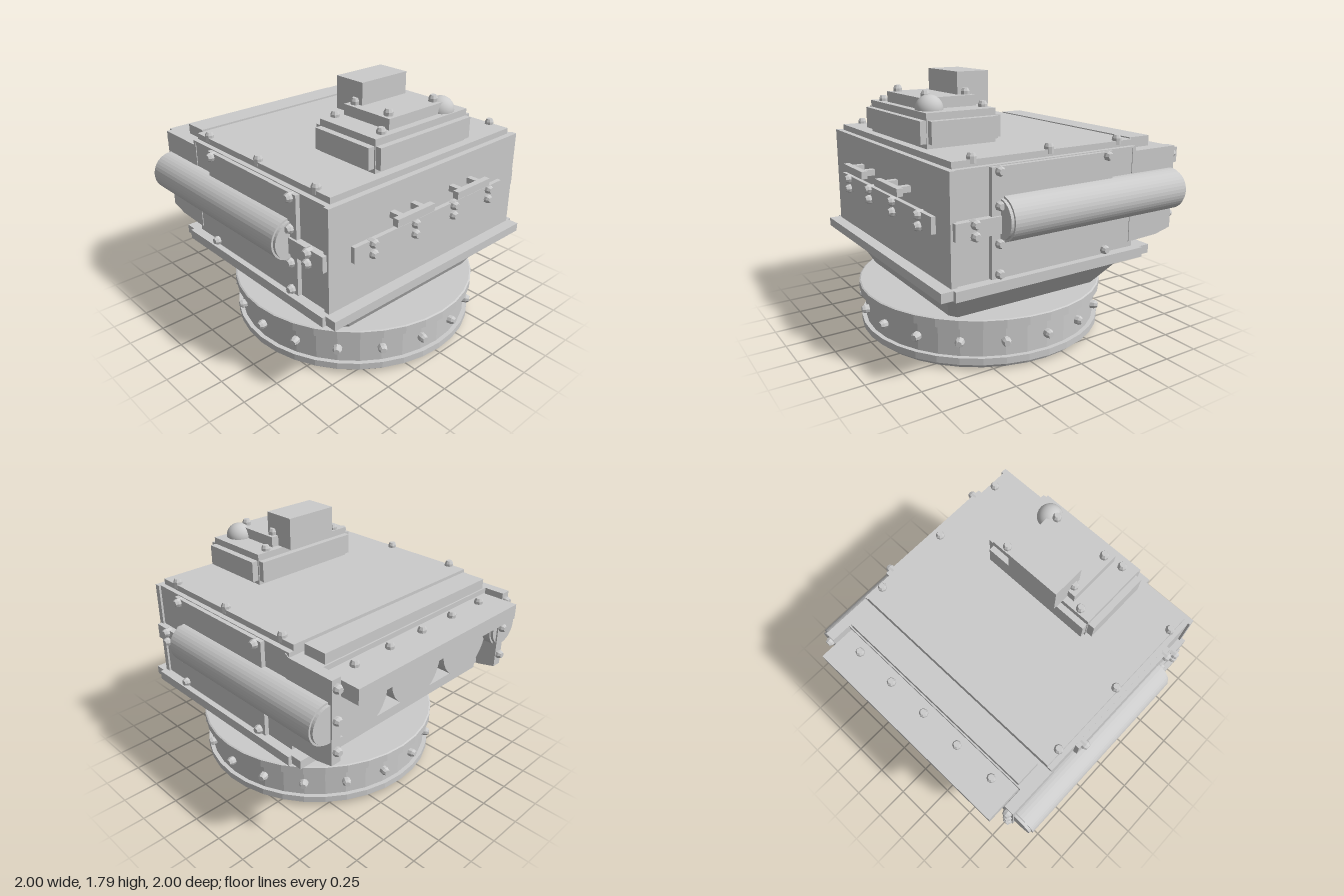
import * as THREE from 'three';
import { ConvexGeometry } from 'three/addons/geometries/ConvexGeometry.js';

const flat = new THREE.MeshStandardMaterial({ color: 0xcccccc, flatShading: true });
const smooth = new THREE.MeshStandardMaterial({ color: 0xcccccc });

export function createModel() {
  const model = new THREE.Group();
  model.name = 'armouredHousing';

  const add = (name, geometry, material = flat) => {
    const mesh = new THREE.Mesh(geometry, material);
    mesh.name = name;
    model.add(mesh);
    return mesh;
  };
  // Box given by its limits on each axis
  const box = (name, x0, x1, y0, y1, z0, z1) => {
    const mesh = add(name, new THREE.BoxGeometry(x1 - x0, y1 - y0, z1 - z0));
    mesh.position.set((x0 + x1) / 2, (y0 + y1) / 2, (z0 + z1) / 2);
    return mesh;
  };
  // The same box on both sides, or only mirrored when s = -1
  const sideBox = (name, s, x0, x1, ...rest) =>
    box(name, Math.min(s * x0, s * x1), Math.max(s * x0, s * x1), ...rest);

  // Hexagonal bolt with a tapered head, standing on a surface
  const boltGeometry = new THREE.LatheGeometry(
    [[0.03, -0.02], [0.03, 0.022], [0.02, 0.042], [0, 0.042]].map(p => new THREE.Vector2(...p)), 8);
  const up = new THREE.Vector3(0, 1, 0);
  const bolt = (x, y, z, nx, ny, nz) => {
    const mesh = add('bolt', boltGeometry);
    mesh.position.set(x, y, z);
    mesh.quaternion.setFromUnitVectors(up, new THREE.Vector3(nx, ny, nz).normalize());
  };

  // Round base with two flanges
  const baseZ = 0.14;
  const baseProfile = [[0, 0.01], [0.81, 0.01], [0.82, 0.03], [0.85, 0.045], [0.85, 0.09], [0.82, 0.09],
    [0.82, 0.29], [0.86, 0.29], [0.86, 0.345], [0.85, 0.35], [0, 0.35]];
  add('baseRing', new THREE.LatheGeometry(baseProfile.map(p => new THREE.Vector2(...p)), 36))
    .position.z = baseZ;
  for (let i = 0; i < 18; i++) {
    const a = (10 + 20 * i) * Math.PI / 180;
    const nx = Math.sin(a), nz = Math.cos(a);
    bolt(nx * 0.825, 0.19, baseZ + nz * 0.825, nx, 0, nz);
  }

  // Tapered neck with chamfered corners
  const neck = [];
  for (const [y, xo, xi, zo, zi] of [[0.34, 0.61, 0.555, 0.56, 0.525], [0.6, 0.83, 0.775, 0.69, 0.655]])
    for (const sx of [-1, 1])
      for (const sz of [-1, 1])
        neck.push(new THREE.Vector3(sx * xo, y, 0.145 + sz * zi), new THREE.Vector3(sx * xi, y, 0.145 + sz * zo));
  add('neck', new ConvexGeometry(neck));

  // Skirt frame around the bottom of the housing
  box('skirtPlate', -0.84, 0.84, 0.59, 0.655, -0.58, 0.86);
  box('skirtFront', -0.885, 0.885, 0.595, 0.655, 0.85, 0.93);
  box('skirtBack', -0.885, 0.885, 0.595, 0.655, -0.65, -0.57);
  for (const s of [-1, 1]) sideBox('skirtSide', s, 0.83, 0.91, 0.59, 0.655, -0.57, 0.85);

  // Main housing, front panel and roof plate
  box('housing', -0.845, 0.845, 0.65, 1.33, -0.53, 0.81);
  box('frontPanel', -0.86, 0.86, 0.65, 1.33, 0.81, 0.85);
  box('roofPlate', -0.81, 0.81, 1.33, 1.37, -0.53, 0.81);
  for (const s of [-1, 1])
    for (const z of [-0.41, 0.13, 0.67]) bolt(s * 0.79, 1.365, z, 0, 1, 0);

  // Bolted strip and two handles on the front
  box('frontStrip', -0.69, 0.69, 0.935, 1.04, 0.85, 0.88);
  for (const x of [-0.545, -0.185, 0.18, 0.54])
    for (const y of [0.95, 1.02]) bolt(x, y, 0.875, 0, 0, 1);
  for (const s of [-1, 1]) {
    sideBox('handleGrip', s, 0.11, 0.43, 1.11, 1.16, 0.925, 0.965);
    sideBox('handlePost', s, 0.16, 0.2, 1.115, 1.155, 0.84, 0.93);
    sideBox('handlePost', s, 0.34, 0.38, 1.115, 1.155, 0.84, 0.93);
  }

  // Rear wing outline in z and y
  const wingShape = new THREE.Shape([[-0.5, 0.69], [-0.5, 1.32], [-0.53, 1.3], [-0.88, 1.3], [-0.88, 0.73],
    [-0.75, 0.7]].map(p => new THREE.Vector2(...p)));
  const wingGeometry = new THREE.ExtrudeGeometry(wingShape, { depth: 0.07, bevelEnabled: false });
  wingGeometry.rotateY(-Math.PI / 2);

  for (const s of [-1, 1]) {
    // Side panel with its bolts
    sideBox('sidePanel', s, 0.84, 0.875, 0.66, 1.325, -0.31, 0.59);
    for (const [z, y] of [[0.54, 1.3], [-0.26, 1.3], [0.54, 0.69], [-0.26, 0.69], [0.54, 1.1], [0.54, 0.875]])
      bolt(s * 0.87, y, z, s, 0, 0);

    // Corner bracket
    sideBox('sideBracket', s, 0.84, 0.89, 0.935, 1.04, 0.53, 0.835);
    for (const y of [0.95, 1.02]) bolt(s * 0.885, y, 0.71, s, 0, 0);

    // Long tube half sunk into the side
    const tube = add('sideTube', new THREE.CylinderGeometry(0.138, 0.138, 1.36, 40));
    tube.rotation.x = Math.PI / 2;
    tube.position.set(s * 0.86, 1.015, -0.17);
    const core = add('sideTubeCore', new THREE.CylinderGeometry(0.125, 0.125, 1.4, 40));
    core.rotation.x = Math.PI / 2;
    core.position.set(s * 0.86, 1.015, -0.17);

    // Wing that shields the drums, bolted along its rear edge
    add('rearWing', wingGeometry).position.x = s > 0 ? 0.85 : -0.78;
    for (const y of [0.82, 1.03, 1.24]) bolt(s * 0.815, y, -0.875, 0, 0, -1);
  }

  // Rear hood, its lip and the strips above and below the bay
  box('rearHood', -0.78, 0.78, 1.24, 1.3, -0.74, -0.52);
  box('hoodLip', -0.765, 0.765, 1.16, 1.265, -1, -0.73);
  box('hoodCap', -0.755, 0.755, 1.29, 1.37, -0.73, -0.56);
  box('bayFloor', -0.78, 0.78, 0.7, 0.74, -0.73, -0.52);
  box('bayFloorStrip', -0.755, 0.755, 0.67, 0.71, -0.73, -0.56);
  for (let i = -2; i <= 2; i++) bolt(i * 0.3, 1.262, -0.81, 0, 1, 0);

  // Three drums in the rear bay
  for (const x of [-0.52, 0, 0.52]) {
    const drum = add('rearDrum', new THREE.CylinderGeometry(0.24, 0.24, 0.28, 32));
    drum.rotation.x = Math.PI / 2;
    drum.position.set(x, 0.99, -0.65);
  }

  // Roof block with a plate on each side
  box('roofBlock', -0.41, 0.41, 1.36, 1.585, 0.265, 0.75);
  box('roofBlockSidePlates', -0.455, 0.455, 1.4, 1.54, 0.275, 0.74);
  box('roofBlockEndPlates', -0.405, 0.405, 1.4, 1.54, 0.225, 0.79);
  for (const [x, z] of [[-0.315, 0.3], [0.315, 0.3], [-0.315, 0.7]]) bolt(x, 1.58, z, 0, 1, 0);

  // Upper plate, sight box and dome
  box('upperPlate', -0.25, 0.25, 1.58, 1.655, 0.31, 0.7);
  for (const x of [-0.2, 0.2])
    for (const z of [0.36, 0.645]) bolt(x, 1.655, z, 0, 1, 0);
  box('sightBox', -0.195, 0.195, 1.585, 1.8, 0.185, 0.415);
  add('dome', new THREE.SphereGeometry(0.088, 24, 16), smooth).position.set(0.265, 1.59, 0.655);

  return model;
}
